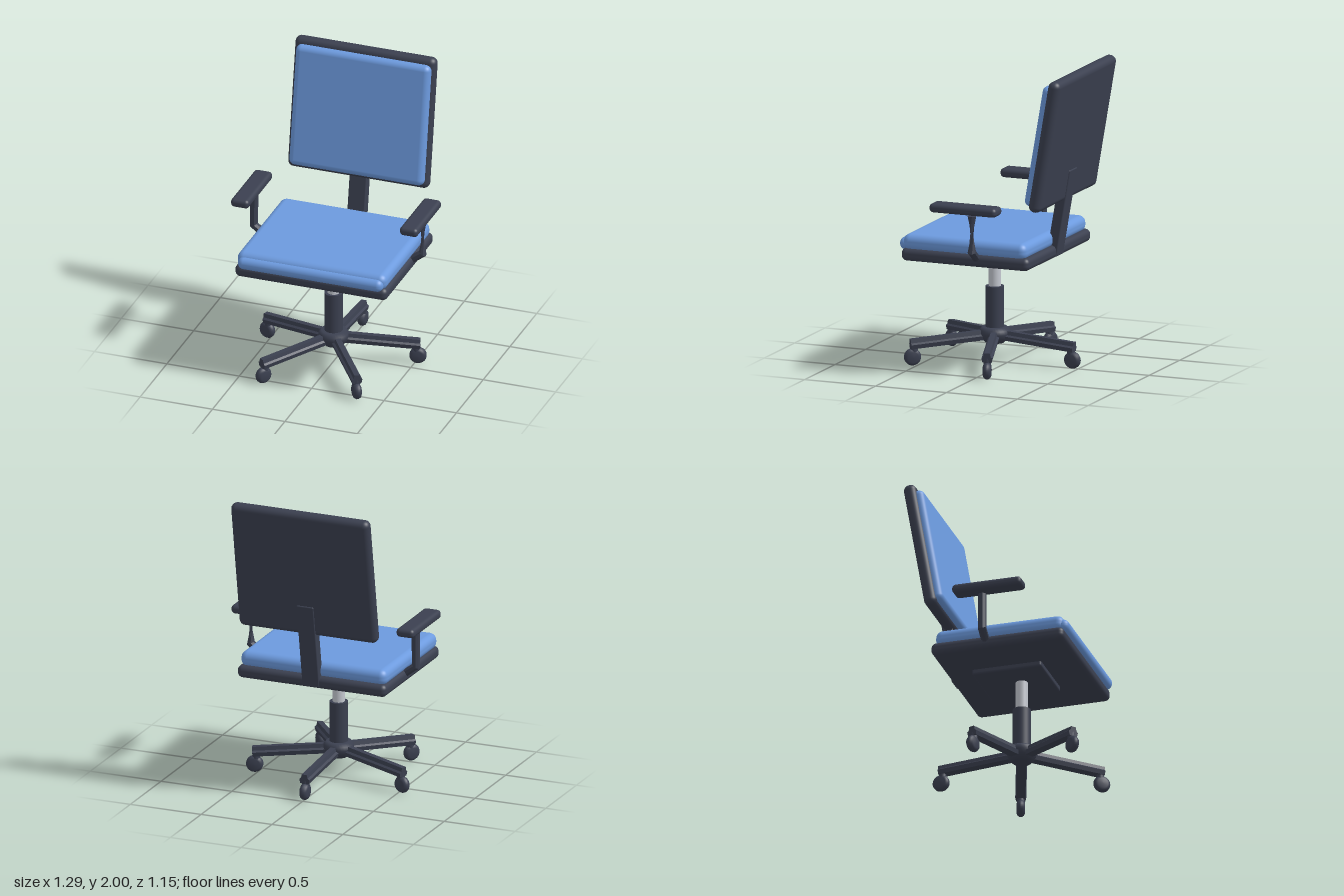
import * as THREE from 'three';
import { RoundedBoxGeometry } from 'three/addons/geometries/RoundedBoxGeometry.js';

function material(name, color) {
  const m = new THREE.MeshStandardMaterial({ color });
  m.name = name;
  return m;
}

export function createModel() {
  const dark = material('darkPlastic', 0x3b4050);
  const blue = material('blueFabric', 0x6c9ade);
  const silver = material('silverMetal', 0xc4c8d0);
  const chair = new THREE.Group();
  chair.name = 'officeChair';

  function add(parent, name, geometry, mat, x = 0, y = 0, z = 0) {
    const mesh = new THREE.Mesh(geometry, mat);
    mesh.name = name;
    mesh.position.set(x, y, z);
    parent.add(mesh);
    return mesh;
  }
  const rounded = (w, h, d, r) => new RoundedBoxGeometry(w, h, d, 4, r);
  const lathe = (pts, n) => new THREE.LatheGeometry(pts.map(p => new THREE.Vector2(...p)), n);

  // Seat
  add(chair, 'seatPan', rounded(1.05, 0.085, 0.90, 0.035), dark, 0, 0.777, 0.08);
  add(chair, 'seatCushion', rounded(1.03, 0.11, 0.87, 0.048), blue, 0, 0.855, 0.09);
  add(chair, 'seatFrontRoll', rounded(1.0, 0.085, 0.12, 0.04), blue, 0, 0.842, 0.495);
  add(chair, 'tiltPlate', rounded(0.43, 0.05, 0.47, 0.015), dark, 0, 0.725, 0.05);

  // Backrest, leaning backwards
  const lean = -0.17;
  const back = new THREE.Group();
  back.name = 'backrest';
  back.position.set(0, 1.558, -0.459);
  back.rotation.x = lean;
  chair.add(back);
  add(back, 'backShell', rounded(0.975, 0.89, 0.085, 0.04), dark);
  add(back, 'backCushion', rounded(0.93, 0.82, 0.10, 0.04), blue, 0, -0.01, 0.035);
  add(chair, 'backSupport', rounded(0.12, 0.59, 0.07, 0.008), dark, 0, 1.04, -0.385).rotation.x = lean;

  // Gas lift and hub
  const base = new THREE.Group();
  base.name = 'base';
  base.position.z = 0.088;
  chair.add(base);
  add(base, 'piston', new THREE.CylinderGeometry(0.04, 0.04, 0.24, 32), silver, 0, 0.60, 0);
  add(base, 'column', new THREE.CylinderGeometry(0.06, 0.06, 0.33, 32), dark, 0, 0.34, 0);
  add(base, 'hub', lathe([[0, 0.13], [0.06, 0.13], [0.09, 0.16], [0.1, 0.19],
    [0.098, 0.215], [0.08, 0.235], [0, 0.235]], 32), dark);

  // Five ridged legs with casters
  const half = [[0.03, 0], [0.036, 0.028], [0.023, 0.038], [0.018, 0.063]];
  const profile = [...half, ...half.map(([x, y]) => [-x, y]).reverse()];
  const legGeometry = new THREE.ExtrudeGeometry(
    new THREE.Shape(profile.map(p => new THREE.Vector2(...p))), { depth: 0.52, bevelEnabled: false });
  const wheelGeometry = lathe([[0, -0.028], [0.034, -0.027], [0.048, -0.02], [0.056, -0.007],
    [0.056, 0.007], [0.048, 0.02], [0.034, 0.027], [0, 0.028]], 28);
  wheelGeometry.rotateZ(Math.PI / 2);
  for (let i = 0; i < 5; i++) {
    const spoke = new THREE.Group();
    spoke.name = 'legAssembly';
    spoke.rotation.y = Math.PI + i * Math.PI * 0.4;
    base.add(spoke);
    add(spoke, 'leg', legGeometry, dark, 0, 0.155, 0.04).rotation.x = 0.08;
    add(spoke, 'casterStem', new THREE.CylinderGeometry(0.024, 0.027, 0.08, 16), dark, 0, 0.105, 0.537);
    add(spoke, 'casterWheel', wheelGeometry, dark, 0, 0.058, 0.547);
  }

  // Bent arm post swept through three rings; twist turns the lower rings
  function armPost(side, twist) {
    const sections = [ // centre x, y, slope of the ring plane, turn
      [0.581, 1.087, 0, 0], [0.583, 0.85, -0.5, twist], [0.495, 0.785, -0.95, twist]];
    const n = 8, r = 0.028;
    const rings = sections.map(([cx, cy, slope, turn]) => Array.from({ length: n }, (_, k) => {
      const a = (k + 0.5) / n * Math.PI * 2 + turn;
      const u = r * Math.cos(a);
      return [side * (cx + u * Math.cos(slope)), cy + u * Math.sin(slope), side * r * Math.sin(a)];
    }));
    const out = [];
    for (let k = 0; k < n; k++) {
      const j = (k + 1) % n;
      for (let i = 0; i < 2; i++) {
        const A = rings[i][k], B = rings[i][j], C = rings[i + 1][j], D = rings[i + 1][k];
        out.push(...A, ...B, ...C, ...A, ...C, ...D);
      }
      out.push(side * 0.581, 1.087, 0, ...rings[0][j], ...rings[0][k]);
    }
    const g = new THREE.BufferGeometry();
    g.setAttribute('position', new THREE.Float32BufferAttribute(out, 3));
    g.computeVertexNormals();
    return g;
  }

  // Armrests
  for (const side of [1, -1]) {
    const label = side > 0 ? 'left' : 'right';
    add(chair, label + 'ArmPad', rounded(0.125, 0.06, 0.47, 0.026), dark, side * 0.583, 1.13, 0.045);
    add(chair, label + 'ArmPost', armPost(side, side > 0 ? Math.PI * 0.75 : 0), dark);
  }
  return chair;
}
